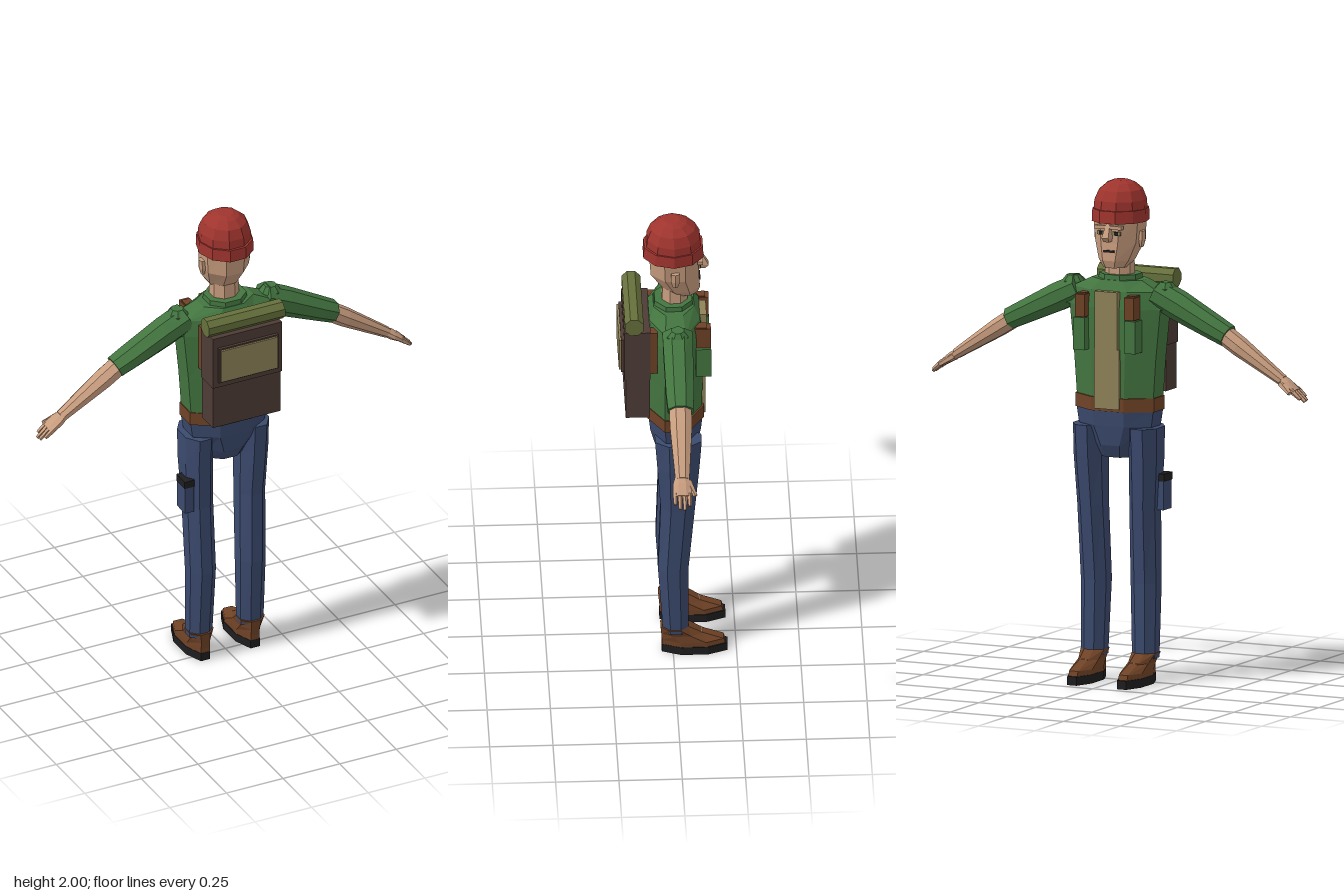
import * as THREE from 'three';

const mat = (name, color) => {
  const m = new THREE.MeshStandardMaterial({ color });
  m.name = name;
  return m;
};

export function createModel() {
  const root = new THREE.Group();
  root.name = 'backpacker';
  const shirt = mat('shirt green', 0x437540), skin = mat('skin', 0xc79c7e);
  const denim = mat('denim blue', 0x3b4a6e), red = mat('cap red', 0x9f342e);
  const leather = mat('leather brown', 0x6f4226), pack = mat('pack brown', 0x4e3c36);
  const tan = mat('canvas tan', 0x8f8258), olive = mat('bedroll olive', 0x66703c);
  const black = mat('black', 0x1e1d1f);

  const add = (name, geo, material) => {
    const g = geo.index ? geo.toNonIndexed() : geo;
    g.computeVertexNormals(); // faceted look
    const m = new THREE.Mesh(g, material);
    m.name = name;
    root.add(m);
    return m;
  };
  // Box from its centre and size
  const box = (name, material, x, y, z, w, h, d) =>
    add(name, new THREE.BoxGeometry(w, h, d).translate(x, y, z), material);

  // Faceted solid through rings [y, half width, half depth, cz, cx]
  const loft = (rings, n = 8) => {
    const pos = [], idx = [], k = 1 / Math.cos(Math.PI / n);
    rings.forEach(([y, rx, rz, cz = 0, cx = 0]) => {
      for (let j = 0; j < n; j++) {
        const a = ((j + 0.5) / n) * Math.PI * 2;
        pos.push(cx + rx * k * Math.sin(a), y, cz + rz * k * Math.cos(a));
      }
    });
    const last = rings.length - 1;
    for (let i = 0; i < last; i++)
      for (let j = 0; j < n; j++) {
        const a = i * n + j, b = i * n + ((j + 1) % n);
        idx.push(a, b, b + n, a, b + n, a + n);
      }
    for (let j = 1; j < n - 1; j++) {
      idx.push(0, j + 1, j);
      idx.push(last * n, last * n + j, last * n + j + 1);
    }
    const g = new THREE.BufferGeometry();
    g.setAttribute('position', new THREE.Float32BufferAttribute(pos, 3));
    g.setIndex(idx);
    return g;
  };
  // Tapered limb from p to q; sections are [fraction, thickness, half depth]
  const limb = (name, material, p, q, sections, n = 8) => {
    const a = new THREE.Vector3(...p), d = new THREE.Vector3(...q).sub(a), len = d.length();
    const g = loft(sections.map(([t, r, rz]) => [t * len, r, rz]), n);
    g.applyQuaternion(new THREE.Quaternion().setFromUnitVectors(new THREE.Vector3(0, 1, 0), d.normalize()));
    return add(name, g.translate(a.x, a.y, a.z), material);
  };

  // Head, neck and face (the face looks toward -z)
  add('head', loft([[1.66, 0.045, 0.05, -0.05], [1.69, 0.066, 0.074, -0.036],
    [1.76, 0.09, 0.095, -0.01], [1.86, 0.098, 0.1, -0.008]]), skin);
  add('neck', loft([[1.59, 0.056, 0.052, -0.01], [1.72, 0.054, 0.048, -0.012]]), skin);
  add('nose', loft([[1.768, 0.011, 0.014, -0.118], [1.785, 0.015, 0.019, -0.126],
    [1.838, 0.008, 0.007, -0.11]], 4), skin);
  box('mouth', black, 0, 1.728, -0.108, 0.05, 0.009, 0.008);

  // Cap
  add('capBand', loft([[1.84, 0.107, 0.119, -0.005], [1.89, 0.105, 0.116, -0.005]], 10), red);
  add('capCrown', loft([[1.88, 0.101, 0.108, -0.006], [1.925, 0.098, 0.104, -0.006],
    [1.965, 0.082, 0.087, -0.004], [1.99, 0.054, 0.056, -0.002], [2, 0.03, 0.03, 0]], 10), red);

  // Shirt, belt and hips
  add('shirt', loft([[1.13, 0.168, 0.106, -0.01], [1.3, 0.18, 0.108, -0.01], [1.5, 0.2, 0.108, -0.01],
    [1.57, 0.19, 0.1, -0.008], [1.61, 0.11, 0.08, -0.006]]), shirt);
  add('collar', loft([[1.58, 0.085, 0.08, -0.005], [1.63, 0.08, 0.074, -0.005]]), shirt);
  add('belt', loft([[1.09, 0.174, 0.111, -0.012], [1.145, 0.174, 0.111, -0.012]]), leather);
  add('hips', loft([[0.9, 0.075, 0.06, -0.015], [0.95, 0.1, 0.085, -0.015],
    [1.03, 0.16, 0.1, -0.012], [1.1, 0.17, 0.107, -0.012]]), denim);

  // Chest panel
  box('chestPanelUpper', tan, 0, 1.455, -0.118, 0.1, 0.23, 0.034);
  box('chestPanelLower', tan, 0, 1.22, -0.115, 0.11, 0.24, 0.03);

  for (const s of [1, -1]) {
    const side = s > 0 ? 'left' : 'right';
    // Face details
    add(side + 'Ear', loft([[1.74, 0.007, 0.01, -0.01, s * 0.095], [1.77, 0.012, 0.018, -0.01, s * 0.098],
      [1.805, 0.01, 0.016, -0.01, s * 0.1]], 6), skin);
    box(side + 'EyeWhite', tan, s * 0.034, 1.801, -0.107, 0.034, 0.015, 0.008);
    box(side + 'Pupil', black, s * 0.034, 1.801, -0.109, 0.016, 0.015, 0.009);
    box(side + 'Brow', skin, s * 0.034, 1.825, -0.11, 0.05, 0.014, 0.022);

    // Arm
    add(side + 'Shoulder', loft([[1.5, 0.04, 0.045, -0.015, s * 0.2],
      [1.585, 0.04, 0.042, -0.015, s * 0.205], [1.608, 0.024, 0.024, -0.015, s * 0.205]]), shirt);
    limb(side + 'Sleeve', shirt, [s * 0.17, 1.562, -0.015], [s * 0.48, 1.412, -0.015],
      [[0, 0.054, 0.06], [0.3, 0.056, 0.058], [0.8, 0.046, 0.055], [1, 0.042, 0.05]]);
    limb(side + 'Forearm', skin, [s * 0.45, 1.425, -0.015], [s * 0.72, 1.252, -0.012],
      [[0, 0.037, 0.043], [0.3, 0.036, 0.044], [1, 0.02, 0.028]]);
    limb(side + 'Palm', skin, [s * 0.71, 1.258, -0.01], [s * 0.78, 1.212, -0.01],
      [[0, 0.017, 0.026], [0.4, 0.018, 0.036], [1, 0.012, 0.037]]);
    limb(side + 'Thumb', skin, [s * 0.725, 1.245, -0.035], [s * 0.775, 1.21, -0.062],
      [[0, 0.011, 0.013], [1, 0.007, 0.008]], 5);
    [0.81, 0.822, 0.82, 0.805].forEach((x, i) => {
      const z = -0.038 + i * 0.019;
      limb(side + 'Finger', skin, [s * 0.77, 1.219, z], [s * x, 1.212 - (x - 0.78) * 0.85, z],
        [[0, 0.01, 0.009], [1, 0.006, 0.006]], 5);
    });

    // Leg and shoe
    add(side + 'Leg', loft([[0.1, 0.05, 0.05, -0.01, s * 0.113], [0.4, 0.056, 0.06, 0, s * 0.11],
      [0.7, 0.056, 0.068, -0.018, s * 0.115], [0.9, 0.061, 0.083, -0.02, s * 0.122],
      [1.025, 0.062, 0.092, -0.02, s * 0.122]]), denim);
    add(side + 'Sole', loft([[0, 0.049, 0.13, -0.085, s * 0.11], [0.035, 0.049, 0.13, -0.085, s * 0.11]]), black);
    add(side + 'Shoe', loft([[0.03, 0.047, 0.126, -0.082, s * 0.11], [0.055, 0.047, 0.122, -0.078, s * 0.11],
      [0.085, 0.044, 0.083, -0.036, s * 0.11], [0.122, 0.052, 0.054, -0.004, s * 0.113]]), leather);
    box(side + 'Lace', tan, s * 0.11, 0.086, -0.103, 0.04, 0.008, 0.02);

    // Pack straps with chest pouches
    box(side + 'FrontStrap', leather, s * 0.108, 1.46, -0.107, 0.036, 0.2, 0.054);
    box(side + 'StrapPad', leather, s * 0.108, 1.51, -0.12, 0.042, 0.09, 0.058);
    box(side + 'StrapPouch', shirt, s * 0.112, 1.397, -0.12, 0.05, 0.13, 0.06);
    box(side + 'BackStrap', leather, s * 0.13, 1.458, 0.082, 0.04, 0.195, 0.04);
  }

  // Thigh pouch
  box('thighPouch', denim, -0.18, 0.755, 0.01, 0.04, 0.12, 0.07);
  box('thighPouchFlap', black, -0.181, 0.825, 0.01, 0.044, 0.03, 0.074);

  // Backpack with pocket and bedroll
  box('packBody', pack, 0, 1.25, 0.14, 0.3, 0.2, 0.096);
  box('packTop', pack, 0, 1.447, 0.142, 0.306, 0.226, 0.104);
  box('packPocketTrim', pack, 0, 1.437, 0.198, 0.262, 0.155, 0.016);
  box('packPocket', tan, 0, 1.437, 0.2, 0.248, 0.142, 0.028);
  add('bedroll', loft([[-0.168, 0.037, 0.037], [0.168, 0.037, 0.037]])
    .rotateZ(Math.PI / 2).translate(0, 1.597, 0.155), olive);

  return root;
}
